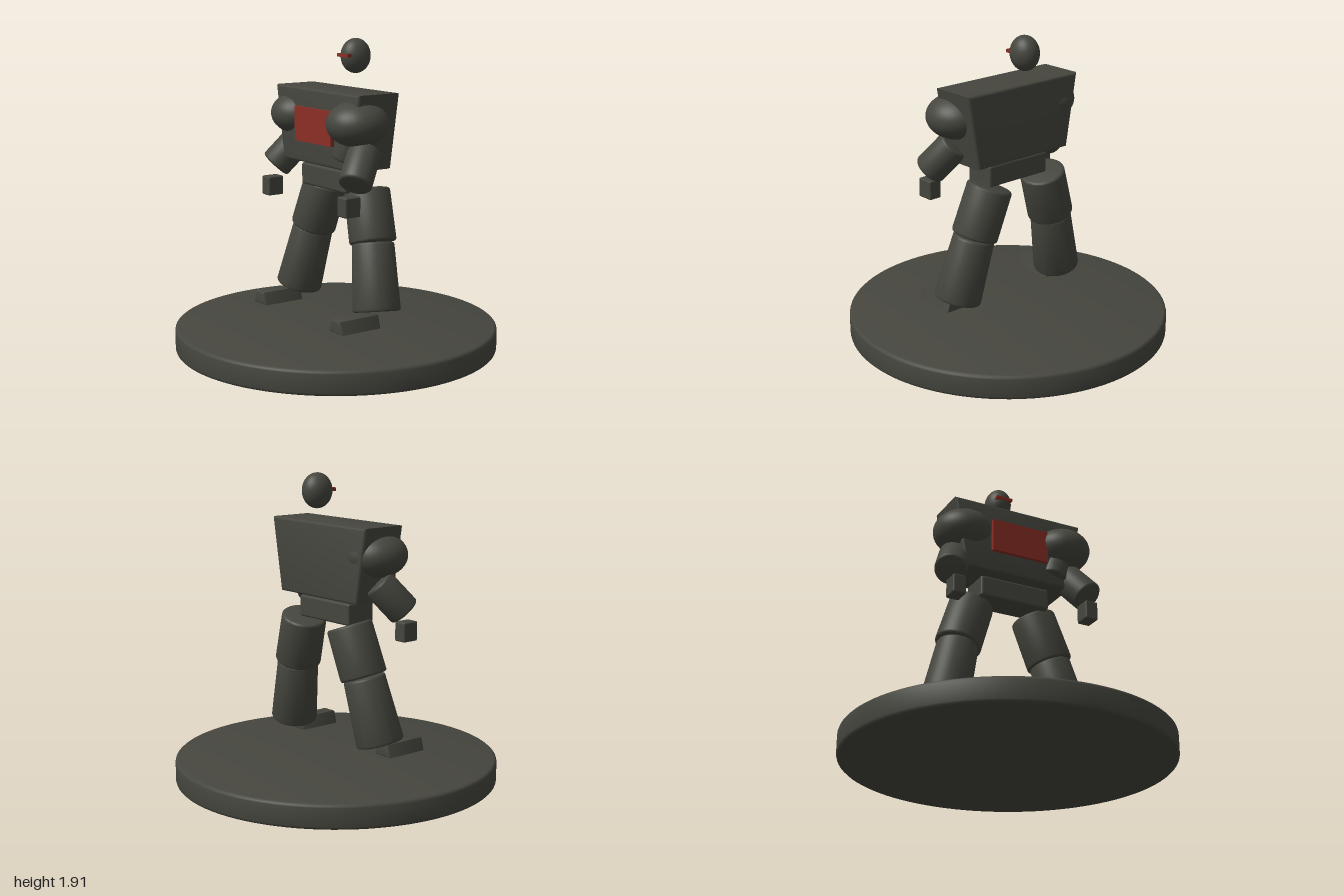
import * as THREE from 'three';
import { toCreasedNormals } from 'three/addons/utils/BufferGeometryUtils.js';
import { RoundedBoxGeometry } from 'three/addons/geometries/RoundedBoxGeometry.js';

export function createModel() {
  const model = new THREE.Group();
  const dark = new THREE.MeshStandardMaterial({ color: 0x46463f });
  dark.name = 'dark armour';
  const red = new THREE.MeshStandardMaterial({ color: 0x8b2e24 });
  red.name = 'red panel';

  function add(name, geometry, position, material = dark) {
    const mesh = new THREE.Mesh(geometry, material);
    mesh.name = name;
    mesh.position.set(...position);
    model.add(mesh);
    return mesh;
  }

  // Drum along y with softened rims, centred on its origin
  function drum(rBottom, rTop, height, bevel, segments = 48) {
    const h = height / 2, pts = [new THREE.Vector2(0, -h)];
    for (const [r, y, from] of [[rBottom, -h + bevel, -90], [rTop, h - bevel, 0]]) {
      for (let i = 0; i <= 3; i++) {
        const a = THREE.MathUtils.degToRad(from + i * 30);
        pts.push(new THREE.Vector2(r - bevel + bevel * Math.cos(a), y + bevel * Math.sin(a)));
      }
    }
    pts.push(new THREE.Vector2(0, h));
    return toCreasedNormals(new THREE.LatheGeometry(pts, segments), 0.6);
  }

  // Limb segment running from one joint to the next
  function limb(name, from, to, rFrom, rTo) {
    const a = new THREE.Vector3(...from), b = new THREE.Vector3(...to);
    const axis = a.clone().sub(b);
    const mesh = add(name, drum(rTo, rFrom, axis.length(), 0.015), a.clone().add(b).multiplyScalar(0.5).toArray());
    mesh.quaternion.setFromUnitVectors(new THREE.Vector3(0, 1, 0), axis.normalize());
  }

  function ellipsoid(name, position, radii) {
    add(name, new THREE.SphereGeometry(1, 40, 28).scale(...radii), position);
  }

  // Bevelled trapezoid block, centred on its origin
  function wedge(halfTop, halfBottom, height, depth, bevel) {
    const h = height / 2 - bevel, t = halfTop - bevel, b = halfBottom - bevel;
    const shape = new THREE.Shape([[-b, -h], [b, -h], [t, h], [-t, h]].map(p => new THREE.Vector2(...p)));
    const geometry = new THREE.ExtrudeGeometry(shape, {
      depth: depth - 2 * bevel, bevelEnabled: true, bevelSize: bevel, bevelThickness: bevel, bevelSegments: 3,
    });
    geometry.translate(0, 0, -depth / 2 + bevel);
    return toCreasedNormals(geometry, 0.6);
  }

  // Display stand
  add('stand', drum(1, 1, 0.15, 0.02, 96), [0, 0.075, 0]);

  // Body
  add('torso', wedge(0.435, 0.36, 0.46, 0.3, 0.018), [0, 1.385, 0]);
  add('chestPanel', new THREE.BoxGeometry(0.38, 0.21, 0.035), [0, 1.395, 0.158], red);
  add('pelvis', new RoundedBoxGeometry(0.465, 0.135, 0.2, 3, 0.015), [0, 1.073, 0]);

  // Floating head with visor
  ellipsoid('head', [0, 1.805, -0.147], [0.083, 0.107, 0.097]);
  add('visor', new THREE.BoxGeometry(0.11, 0.02, 0.035), [0, 1.81, -0.0625], red);

  // Limbs; the right arm is held slightly further back
  for (const [side, s, back] of [['left', 1, 0], ['right', -1, 0.05]]) {
    ellipsoid(side + 'Shoulder', [s * 0.333, 1.437, 0.083 - back], [0.183, 0.137, 0.19]);
    limb(side + 'UpperArm', [s * 0.32, 1.44, 0.075 - back], [s * 0.255, 1.215, 0.105 - back], 0.09, 0.09);
    limb(side + 'Forearm', [s * 0.37, 1.28, 0.055 - back], [s * 0.46, 1.1, 0.195 - back], 0.1, 0.1);
    add(side + 'Hand', new RoundedBoxGeometry(0.085, 0.12, 0.11, 3, 0.01), [s * 0.438, 0.975, 0.22 - back * 0.8]);

    limb(side + 'Thigh', [s * 0.214, 1.01, -0.077], [s * 0.317, 0.705, -0.048], 0.14, 0.143);
    limb(side + 'Shin', [s * 0.317, 0.705, -0.048], [s * 0.418, 0.306, -0.002], 0.128, 0.145);
    add(side + 'Foot', wedge(0.048, 0.066, 0.08, 0.285, 0.01), [s * 0.415, 0.26, 0.158]);
  }

  return model;
}
